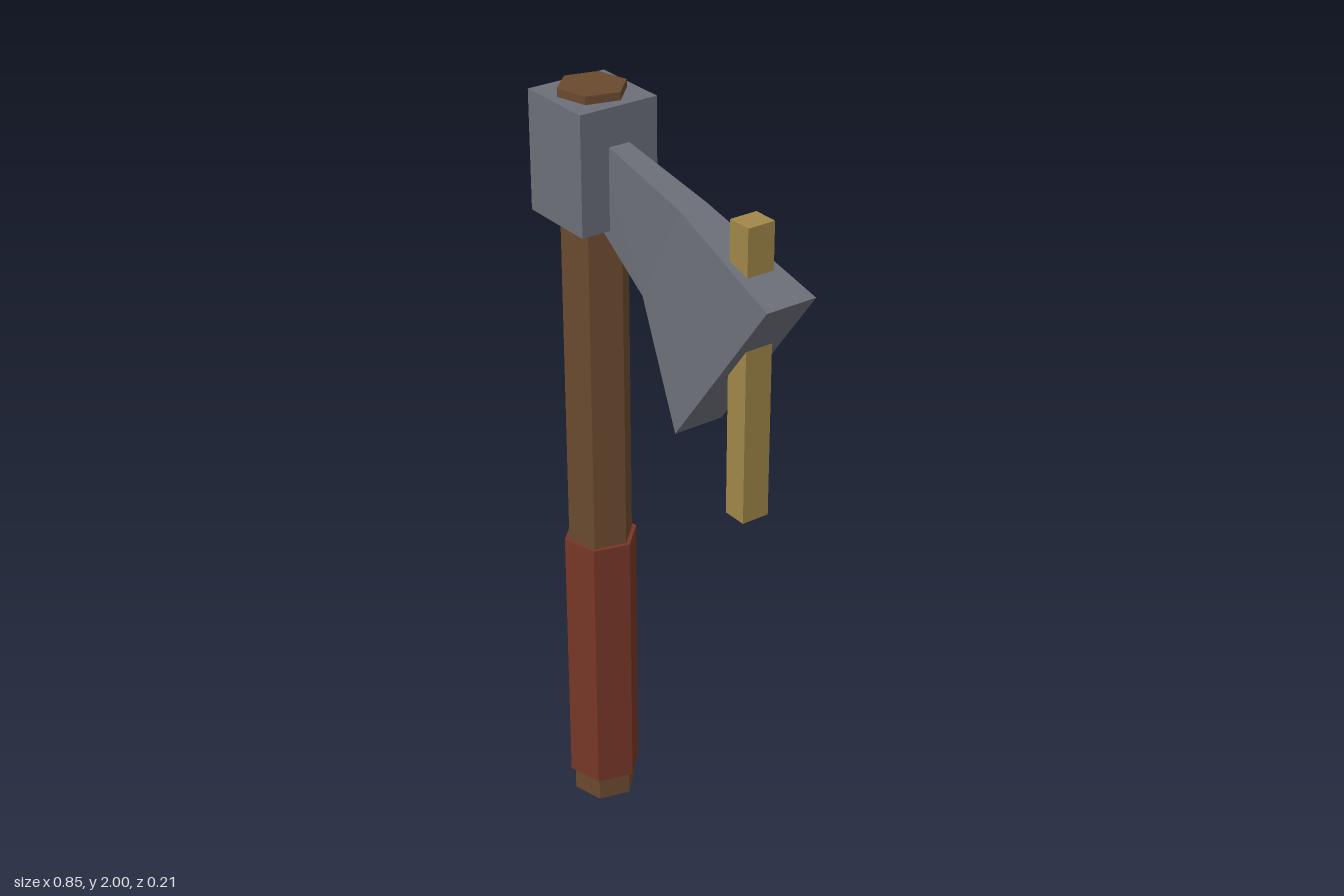
import * as THREE from 'three';

const flat = (name, color) => {
  const m = new THREE.MeshStandardMaterial({ color });
  m.name = name;
  return m;
};

// Lofts four-cornered cross-sections: [topX, topY, bottomX, bottomY, topHalf, bottomHalf]
function loft(sections) {
  const rings = sections.map(([tx, ty, bx, by, th, bh]) => [
    [tx, ty, th], [bx, by, bh], [bx, by, -bh], [tx, ty, -th],
  ]);
  const pos = [];
  const quad = (a, b, c, d) => pos.push(...a, ...b, ...c, ...a, ...c, ...d);
  for (let i = 0; i < rings.length - 1; i++) {
    const p = rings[i], q = rings[i + 1];
    for (let k = 0; k < 4; k++) {
      const n = (k + 1) % 4;
      quad(p[k], p[n], q[n], q[k]);
    }
  }
  const first = rings[0], last = rings[rings.length - 1];
  quad(first[3], first[2], first[1], first[0]);
  quad(...last);
  const g = new THREE.BufferGeometry();
  g.setAttribute('position', new THREE.Float32BufferAttribute(pos, 3));
  g.computeVertexNormals();
  return g;
}

export function createModel() {
  const group = new THREE.Group();
  group.name = 'axe';
  const wood = flat('wood', 0x6a4a2f);
  const leather = flat('leather', 0x753626);
  const steel = flat('steel', 0x6c6f78);
  const brass = flat('brass', 0xa0874a);
  const axisX = -0.319;

  const add = (name, geometry, material, x = 0, y = 0) => {
    const mesh = new THREE.Mesh(geometry, material);
    mesh.name = name;
    mesh.position.set(x, y, 0);
    group.add(mesh);
    return mesh;
  };

  // Six-sided shaft pieces
  const hexRod = (name, radius, y0, y1, material) => {
    const g = new THREE.CylinderGeometry(radius, radius, y1 - y0, 6).toNonIndexed();
    g.computeVertexNormals();
    add(name, g, material, axisX, (y0 + y1) / 2).rotation.y = Math.PI / 4;
  };
  hexRod('handle', 0.085, 0, 2, wood);
  hexRod('grip', 0.097, 0.067, 0.797, leather);

  // Socket block around the top of the shaft
  add('headBlock', new THREE.BoxGeometry(0.213, 0.3, 0.213), steel, axisX, 1.83);

  // Blade flaring out from the block to a broad slanted edge
  add('blade', loft([
    [-0.27, 1.897, -0.27, 1.682, 0.026, 0.026],
    [0.07, 1.832, -0.072, 1.57, 0.038, 0.038],
    [0.422, 1.727, 0.095, 1.292, 0.067, 0.067],
  ]), steel);

  // Upright bar passing through the blade
  add('crossBar', new THREE.BoxGeometry(0.064, 0.73, 0.072), brass, 0.282, 1.51);

  return group;
}
